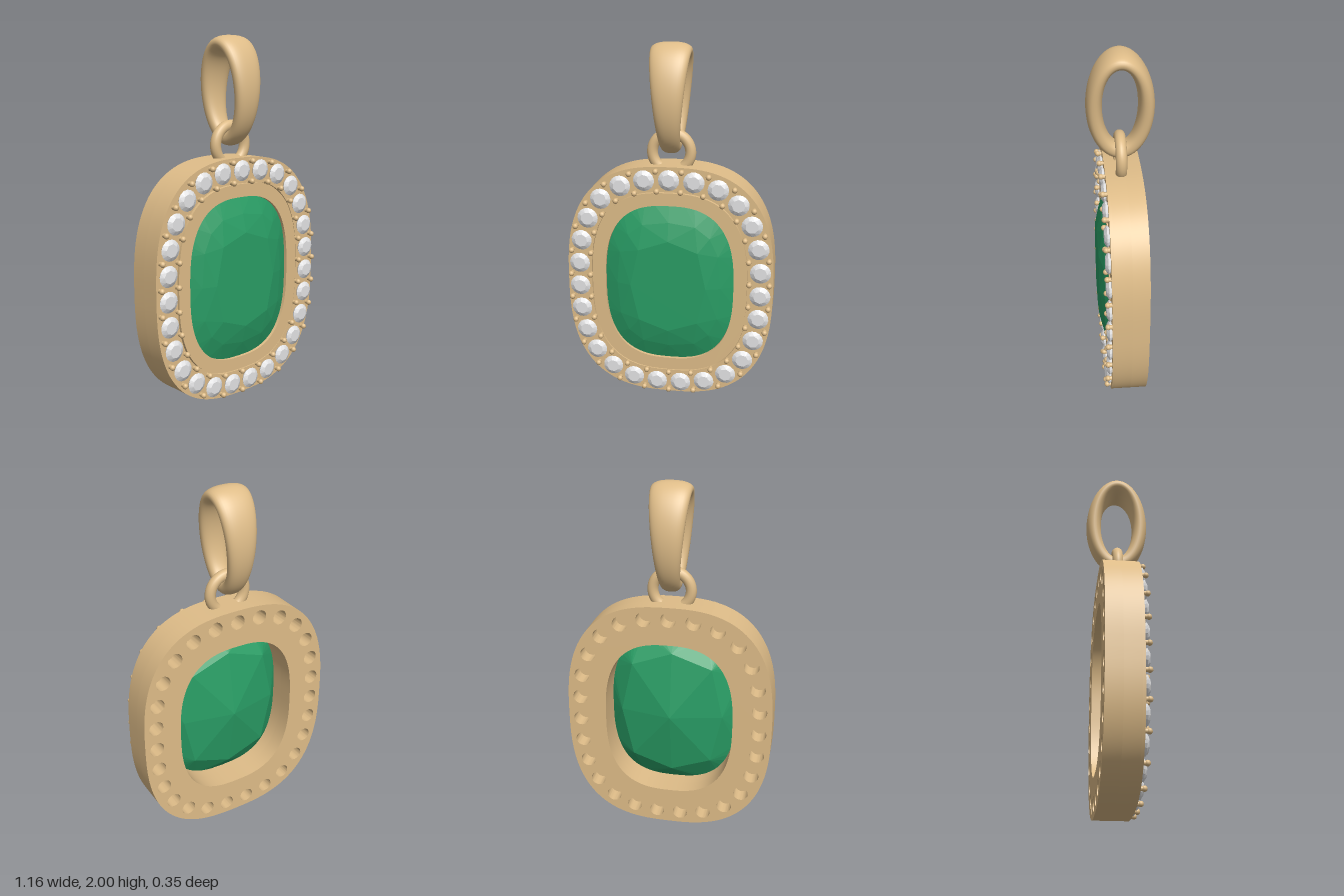
import * as THREE from 'three';
import { toCreasedNormals } from 'three/addons/utils/BufferGeometryUtils.js';
import { ConvexGeometry } from 'three/addons/geometries/ConvexGeometry.js';
import { ParametricGeometry } from 'three/addons/geometries/ParametricGeometry.js';

const CY = 0.675; // height of the pendant centre
const spow = (v, p) => Math.sign(v) * Math.pow(Math.abs(v), p);

// Cushion-shaped outline, starting at the top and going clockwise
function cushion(a, b, count, n = 2.7) {
  const pts = [];
  for (let i = 0; i < count; i++) {
    const t = Math.PI / 2 - (i / count) * Math.PI * 2;
    pts.push(new THREE.Vector2(a * spow(Math.cos(t), 2 / n), b * spow(Math.sin(t), 2 / n)));
  }
  return pts;
}

// Flat ring between two cushion outlines, with optional round holes
function plate(outer, inner, z0, z1, holes = []) {
  const shape = new THREE.Shape(cushion(...outer, 144).reverse());
  shape.holes.push(new THREE.Path(cushion(...inner, 144)));
  for (const h of holes) shape.holes.push(new THREE.Path().absarc(h.x, h.y, 0.042, 0, Math.PI * 2, true));
  const geo = new THREE.ExtrudeGeometry(shape, { depth: z1 - z0, bevelEnabled: false, curveSegments: 20 });
  geo.translate(0, CY, z0);
  return toCreasedNormals(geo, 0.6);
}

// Faceted stone from rings of [scale, z, count]
function cutStone(a, b, n, rings) {
  const pts = [];
  for (const [s, z, count] of rings) {
    for (const p of cushion(a * s, b * s, count, n)) pts.push(new THREE.Vector3(p.x, p.y, z));
  }
  return new ConvexGeometry(pts);
}

export function createModel() {
  const gold = new THREE.MeshStandardMaterial({ color: 0xdebc88 });
  gold.name = 'gold';
  const green = new THREE.MeshStandardMaterial({ color: 0x299d65 });
  green.name = 'green gem';
  const white = new THREE.MeshStandardMaterial({ color: 0xe4e4e5 });
  white.name = 'clear stone';

  const model = new THREE.Group();
  model.name = 'pendant';
  const add = (name, geo, mat, parent = model) => {
    const mesh = new THREE.Mesh(geo, mat);
    mesh.name = name;
    parent.add(mesh);
    return mesh;
  };

  // Evenly spaced halo positions: even ones hold stones, odd ones hold prongs
  const COUNT = 27;
  const track = cushion(0.51, 0.605, 240);
  const spots = new THREE.Path([...track, track[0].clone()]).getSpacedPoints(COUNT * 2).slice(0, COUNT * 2);
  const stoneSpots = spots.filter((p, i) => i % 2 === 0);

  // Frame, drilled from the back, with a fine groove between halo rim and bezel
  const outer = [0.58, 0.675], opening = [0.362, 0.459];
  add('frameBack', plate(outer, opening, -0.11, -0.02, stoneSpots), gold);
  add('frameFront', plate(outer, opening, -0.02, 0.07), gold);
  add('haloRim', plate(outer, [0.443, 0.538], 0.07, 0.085), gold);
  add('bezel', plate([0.436, 0.531], opening, 0.07, 0.09), gold);

  // Large centre gem
  const gem = cutStone(0.364, 0.461, 2.8, [
    [0.58, 0.132, 8], [0.8, 0.106, 16], [1, 0.07, 48], [1, 0.062, 48], [0.8, -0.015, 8], [0, -0.08, 1],
  ]);
  add('centreGem', gem, green).position.y = CY;

  // Halo of small stones with pairs of prongs between them
  const halo = new THREE.Group();
  halo.name = 'halo';
  halo.position.y = CY;
  model.add(halo);
  const stoneGeo = cutStone(0.058, 0.058, 2, [[0.62, 0.112, 8], [1, 0.098, 16], [0.8, 0.082, 16]]);
  const pinGeo = new THREE.CylinderGeometry(0.012, 0.012, 0.026, 10).rotateX(Math.PI / 2);
  const beadGeo = new THREE.SphereGeometry(0.0155, 12, 8);
  spots.forEach((p, i) => {
    const prev = spots[(i + spots.length - 1) % spots.length];
    const next = spots[(i + 1) % spots.length];
    const dir = next.clone().sub(prev).normalize();
    if (i % 2 === 0) {
      const stone = add('haloStone', stoneGeo, white, halo);
      stone.position.set(p.x, p.y, 0);
      stone.rotation.z = Math.atan2(dir.y, dir.x);
      return;
    }
    for (const off of [-0.049, 0.062]) {
      const x = p.x + dir.y * off, y = p.y - dir.x * off;
      add('prongPin', pinGeo, gold, halo).position.set(x, y, 0.093);
      add('prongBead', beadGeo, gold, halo).position.set(x, y, 0.107);
    }
  });

  // Small loop rising from the frame
  const arc = Math.PI + 1.75;
  const loop = new THREE.TorusGeometry(0.105, 0.03, 16, 48, arc);
  loop.rotateZ((Math.PI - arc) / 2);
  add('loop', loop, gold).position.y = 1.415;

  // Oval bail, wide at the top and narrow at the bottom
  const bail = new ParametricGeometry((u, v, target) => {
    const t = u * Math.PI * 2, f = -v * Math.PI * 2;
    const r = 0.042 * spow(Math.sin(f), 0.85);
    const width = 0.081 + 0.028 * Math.cos(t);
    target.set(width * spow(Math.cos(f), 0.85), 1.705 + (0.253 + r) * Math.cos(t), (0.135 + r) * Math.sin(t));
  }, 72, 32);
  add('bail', bail, gold);

  return model;
}
